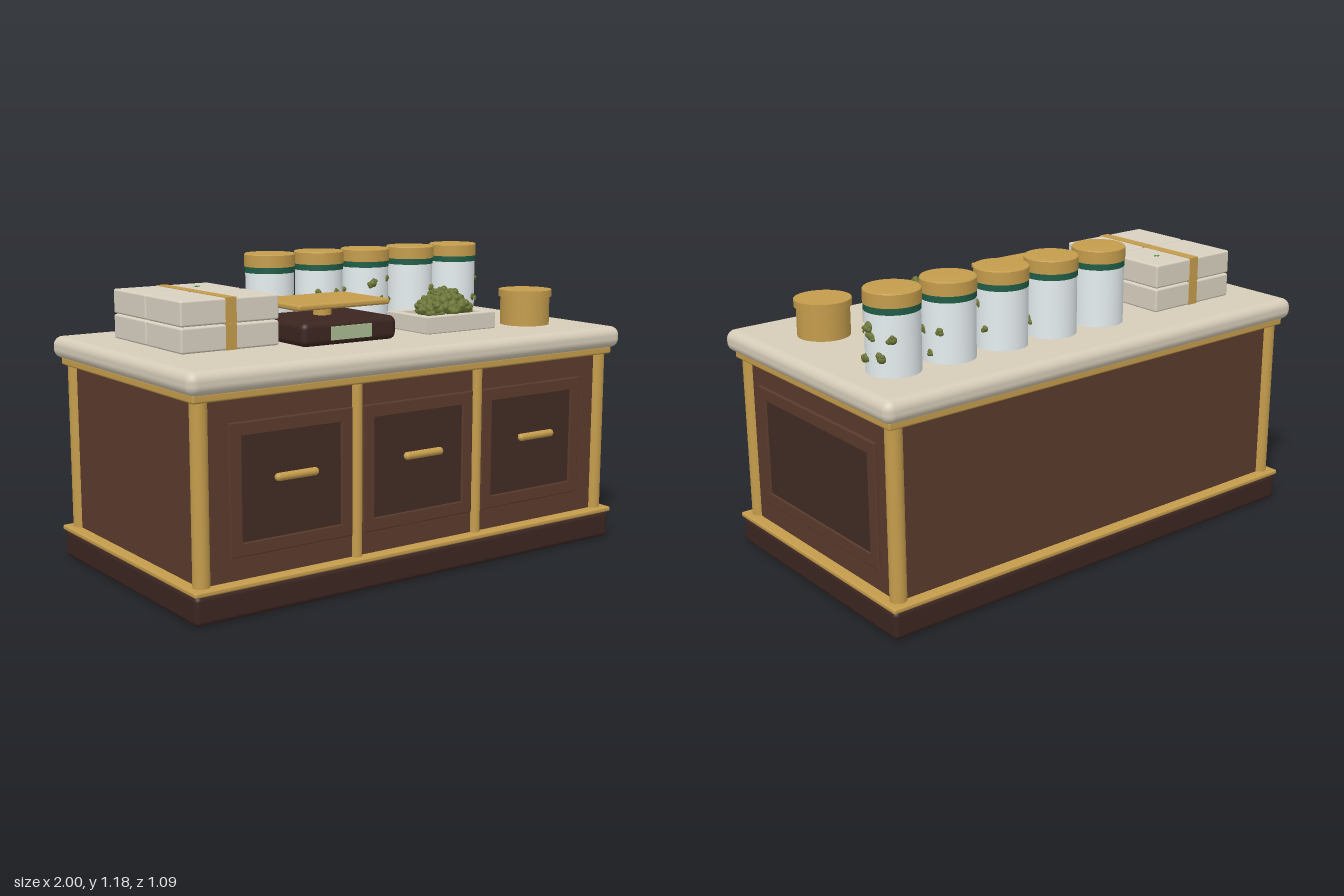
import * as THREE from 'three';
import { RoundedBoxGeometry } from 'three/addons/geometries/RoundedBoxGeometry.js';

const mat = (color) => new THREE.MeshStandardMaterial({ color });
const M = {
  wood: mat(0x5a3a2c), darkWood: mat(0x402c23), plinth: mat(0x3b2520), gold: mat(0xc49c4c),
  stone: mat(0xd6ccb8), carton: mat(0xd8d0c0), glass: mat(0xe6eef0), green: mat(0x1f5c46),
  bud: mat(0x6a7434), screen: mat(0xa9ba90), leaf: mat(0x4f9a58),
};

function add(parent, name, geometry, material, x = 0, y = 0, z = 0) {
  const mesh = new THREE.Mesh(geometry, material);
  mesh.name = name;
  mesh.position.set(x, y, z);
  parent.add(mesh);
  return mesh;
}

// Box given by its bounds, with rounded edges when r > 0
function box(parent, name, material, [x0, x1], [y0, y1], [z0, z1], r = 0) {
  const s = [x1 - x0, y1 - y0, z1 - z0];
  const g = r > 0 ? new RoundedBoxGeometry(...s, 4, r) : new THREE.BoxGeometry(...s);
  return add(parent, name, g, material, (x0 + x1) / 2, (y0 + y1) / 2, (z0 + z1) / 2);
}

function cylinder(parent, name, material, r, y0, y1, x, z) {
  return add(parent, name, new THREE.CylinderGeometry(r, r, y1 - y0, 32), material, x, (y0 + y1) / 2, z);
}

// Rectangular frame facing +z
function frameGeometry(w, h, border, depth) {
  const rect = (path, a, b) => path.moveTo(-a, -b).lineTo(a, -b).lineTo(a, b).lineTo(-a, b).closePath();
  const shape = rect(new THREE.Shape(), w / 2, h / 2);
  shape.holes.push(rect(new THREE.Path(), w / 2 - border, h / 2 - border));
  return new THREE.ExtrudeGeometry(shape, {
    depth, bevelEnabled: true, bevelThickness: 0.004, bevelSize: 0.004, bevelOffset: -0.004, bevelSegments: 2,
  });
}

function panel(name, w, h) {
  const group = new THREE.Group();
  group.name = name;
  add(group, 'panelFrame', frameGeometry(w, h, 0.05, 0.008), M.wood);
  add(group, 'panelInset', new THREE.BoxGeometry(w - 0.09, h - 0.09, 0.012), M.darkWood);
  return group;
}

function seeded(seed) {
  let s = seed;
  return () => (s = (s * 16807) % 2147483647) / 2147483647;
}
const rand = seeded(4242);

// One knobbly bud: a core ringed by smaller lobes
const lobe = new THREE.IcosahedronGeometry(1, 1);
function bud(parent, x, y, z, r) {
  const group = new THREE.Group();
  group.name = 'bud';
  group.position.set(x, y, z);
  add(group, 'budCore', lobe, M.bud).scale.setScalar(r);
  for (let i = 0; i < 5; i++) {
    const a = i * 2.4 + rand(), e = rand() * 2 - 1, c = Math.sqrt(1 - e * e) * r * 0.8;
    add(group, 'budLobe', lobe, M.bud, c * Math.cos(a), e * r * 0.8, c * Math.sin(a))
      .scale.setScalar(r * (0.45 + rand() * 0.25));
  }
  parent.add(group);
}

function buildCounter(root) {
  const counter = new THREE.Group();
  counter.name = 'counter';
  root.add(counter);
  box(counter, 'plinth', M.plinth, [-0.98, 0.98], [0, 0.108], [-0.525, 0.525], 0.02);
  box(counter, 'lowerTrim', M.gold, [-0.985, 0.985], [0.106, 0.126], [-0.53, 0.53], 0.007);
  box(counter, 'body', M.wood, [-0.94, 0.94], [0.12, 0.78], [-0.485, 0.485]);
  box(counter, 'upperTrim', M.gold, [-0.972, 0.972], [0.768, 0.8], [-0.515, 0.515], 0.008);
  box(counter, 'worktop', M.stone, [-1, 1], [0.795, 0.88], [-0.545, 0.545], 0.036);

  // Corner posts and front dividers
  for (const x of [-0.93, 0.93])
    for (const z of [-0.475, 0.475]) cylinder(counter, 'cornerPost', M.gold, 0.031, 0.12, 0.775, x, z);
  for (const x of [-0.285, 0.28]) cylinder(counter, 'frontDivider', M.gold, 0.021, 0.12, 0.775, x, 0.485);

  // Three fronts with bar handles
  for (const x of [-0.567, -0.004, 0.56]) {
    const front = panel('drawerFront', 0.515, 0.475);
    front.position.set(x, 0.447, 0.485);
    const handle = add(front, 'handle', new THREE.CapsuleGeometry(0.015, 0.15, 6, 12), M.gold, 0, 0.033, 0.036);
    handle.rotation.z = Math.PI / 2;
    for (const dx of [-0.06, 0.06])
      add(front, 'handleStud', new THREE.CylinderGeometry(0.007, 0.007, 0.034, 10), M.gold, dx, 0.033, 0.019)
        .rotation.x = Math.PI / 2;
    counter.add(front);
  }
  const side = panel('sidePanel', 0.78, 0.475);
  side.rotation.y = Math.PI / 2;
  side.position.set(0.94, 0.447, 0);
  counter.add(side);
}

function buildJars(root) {
  [-0.17, 0.068, 0.304, 0.542, 0.78].forEach((x, i) => {
    const jar = new THREE.Group();
    jar.name = 'jar';
    jar.position.set(x, 0.88, -0.27);
    root.add(jar);
    cylinder(jar, 'jarBody', M.glass, 0.098, 0, 0.228, 0, 0);
    cylinder(jar, 'jarBand', M.green, 0.1, 0.222, 0.248, 0, 0);
    const lid = [[0, 0.246], [0.102, 0.246], [0.102, 0.246], [0.102, 0.293], [0.102, 0.293], [0.098, 0.298], [0, 0.298]];
    add(jar, 'jarLid', new THREE.LatheGeometry(lid.map((p) => new THREE.Vector2(...p)), 32), M.gold);
    // Buds showing through the glass wall
    for (let k = 0; k < 6; k++) {
      const a = 1.5 - i * 0.35 + (k - 2.5) * 0.42, y = 0.03 + ((k * 3 + i) % 6) * 0.024 + rand() * 0.02;
      bud(jar, 0.091 * Math.cos(a), y, 0.091 * Math.sin(a), 0.013 + rand() * 0.006);
    }
    if (i === 4) bud(jar, 0.093, 0.175, 0, 0.019);
  });
}

function buildCartons(root) {
  const cartons = new THREE.Group();
  cartons.name = 'cartons';
  root.add(cartons);
  for (const y of [0.88, 0.976])
    for (const z of [-0.34, -0.075]) {
      box(cartons, 'carton', M.carton, [-0.828, -0.418], [y, y + 0.093], [z, z + 0.258], 0.008);
      box(cartons, 'cartonBand', M.gold, [-0.645, -0.6], [y, y + 0.095], [z - 0.002, z + 0.26]);
    }
  // Small leaf mark on one carton
  for (const a of [-0.8, 0, 0.8]) {
    const leaf = add(cartons, 'leafMark', new THREE.SphereGeometry(1, 10, 6), M.leaf,
      -0.533 + Math.sin(a) * 0.008, 1.07, -0.214 - Math.cos(a) * 0.006);
    leaf.scale.set(0.005, 0.002, 0.012);
    leaf.rotation.y = -a;
  }
}

function buildScale(root) {
  const scale = new THREE.Group();
  scale.name = 'weighingScale';
  root.add(scale);
  box(scale, 'scaleBody', M.plinth, [-0.4, 0.028], [0.882, 0.972], [-0.028, 0.315], 0.025);
  box(scale, 'scaleScreen', M.screen, [-0.278, -0.098], [0.902, 0.952], [0.3, 0.322]);
  cylinder(scale, 'scaleStem', M.gold, 0.035, 0.965, 1.02, -0.187, 0.125);
  box(scale, 'scalePlate', M.gold, [-0.396, 0.022], [1.011, 1.034], [-0.03, 0.278], 0.009);
}

function buildTray(root) {
  const tray = new THREE.Group();
  tray.name = 'budTray';
  root.add(tray);
  box(tray, 'trayFloor', M.carton, [0.205, 0.53], [0.88, 0.925], [0.04, 0.28]);
  const rim = add(tray, 'trayRim', frameGeometry(0.345, 0.26, 0.034, 0.06), M.carton, 0.367, 0.885, 0.16);
  rim.rotation.x = -Math.PI / 2;
  // Heap of buds, higher toward the middle
  for (let i = 0; i < 44; i++) {
    const t = Math.sqrt((i + 0.5) / 44), a = i * 2.4;
    bud(tray, 0.375 + 0.11 * t * Math.cos(a), 0.94 + 0.07 * (1 - t * t) + rand() * 0.016,
      0.165 + 0.088 * t * Math.sin(a), 0.018 + rand() * 0.007);
  }
}

function buildPot(root) {
  const pot = new THREE.Group();
  pot.name = 'smallPot';
  root.add(pot);
  cylinder(pot, 'potBody', M.gold, 0.1, 0.88, 0.998, 0.74, 0.245);
  cylinder(pot, 'potLid', M.gold, 0.108, 0.994, 1.022, 0.74, 0.245);
}

export function createModel() {
  const root = new THREE.Group();
  root.name = 'shopCounter';
  for (const build of [buildCounter, buildJars, buildCartons, buildScale, buildTray, buildPot]) build(root);
  return root;
}
